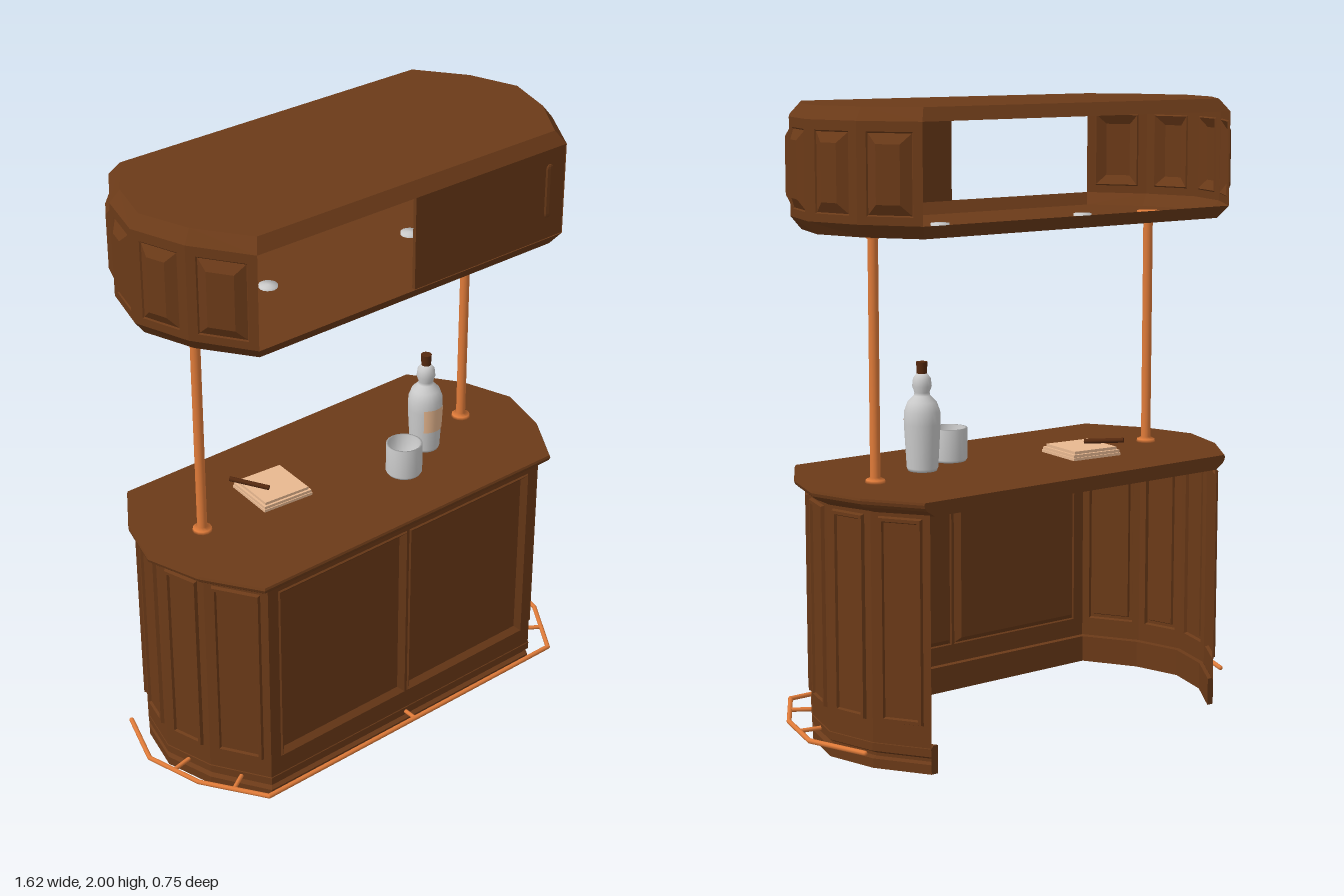
import * as THREE from 'three';

const mat = (color, flat = true) =>
  new THREE.MeshStandardMaterial({ color, flatShading: flat, side: THREE.DoubleSide });
const wood = mat(0x6b3a18), copper = mat(0xe07b39, false), grey = mat(0xcccccc, false);
const paper = mat(0xe8b890), dark = mat(0x55290f, false);

function add(parent, name, geometry, material, x = 0, y = 0, z = 0) {
  const m = new THREE.Mesh(geometry, material);
  m.name = name;
  m.position.set(x, y, z);
  parent.add(m);
  return m;
}

// Skin between rings of points; optional fans close the first and last ring
function loft(rings, { closed = true, first = false, last = false, ends = false } = {}) {
  const pos = [];
  const tri = (...p) => p.forEach(v => pos.push(...v));
  const fan = (r, flip) => {
    for (let j = 1; j < r.length - 1; j++) flip ? tri(r[0], r[j + 1], r[j]) : tri(r[0], r[j], r[j + 1]);
  };
  const n = rings[0].length;
  for (let i = 0; i < rings.length - 1; i++) {
    for (let j = 0; j < (closed ? n : n - 1); j++) {
      const k = (j + 1) % n;
      const a = rings[i][j], b = rings[i][k], c = rings[i + 1][k], d = rings[i + 1][j];
      tri(a, d, c);
      tri(a, c, b);
    }
  }
  if (first) fan(rings[0], false);
  if (last) fan(rings[rings.length - 1], true);
  if (ends) {
    fan(rings.map(r => r[0]), false);
    fan(rings.map(r => r[n - 1]), true);
  }
  const g = new THREE.BufferGeometry();
  g.setAttribute('position', new THREE.Float32BufferAttribute(pos, 3));
  g.computeVertexNormals();
  return g;
}

// Faceted plans, right rear to left rear by way of the front
const mirrored = side => [...side, ...side.slice().reverse().map(([x, z]) => [-x, z])];
const topPlan = mirrored([[0.6, -0.37], [0.715, -0.2], [0.77, -0.02], [0.715, 0.165], [0.6, 0.345]]);
const bodyPlan = mirrored([[0.575, -0.36], [0.68, -0.2], [0.725, -0.03], [0.68, 0.14], [0.57, 0.32]]);

// Plan grown by d around depth z0, at height y
function ringAt(plan, y, d, z0) {
  const zMax = Math.max(...plan.map(p => p[1]));
  return plan.map(([x, z]) => [x * (1 + d / 0.75), y, z0 + (z - z0) * (1 + d / (zMax - z0))]);
}

// One upright facet, with panels [x0, x1, y0, y1] moulded by [inset, depth] steps
function facet(parent, name, p0, p1, y0, y1, panels, steps) {
  const g = new THREE.Group();
  g.name = name;
  g.position.set((p0[0] + p1[0]) / 2, 0, (p0[1] + p1[1]) / 2);
  g.rotation.y = Math.atan2(p1[1] - p0[1], p0[0] - p1[0]);
  parent.add(g);
  const rect = (a, b, c, d) => [[a, c], [a, d], [b, d], [b, c]];
  const toPoints = r => r.map(p => new THREE.Vector2(...p));
  const h = Math.hypot(p1[0] - p0[0], p1[1] - p0[1]) / 2;
  const shape = new THREE.Shape(toPoints(rect(-h, h, y0, y1)));
  for (const [a, b, c, d] of panels) {
    shape.holes.push(new THREE.Path(toPoints(rect(a, b, c, d))));
    const rings = steps.map(([i, z]) => rect(a + i, b - i, c + i, d - i).map(p => [...p, z]));
    add(g, 'panel', loft(rings, { last: true }), wood);
  }
  add(g, 'panelFrame', new THREE.ShapeGeometry(shape), wood);
}

function rod(parent, name, a, b, r) {
  const A = new THREE.Vector3(...a), B = new THREE.Vector3(...b);
  const m = add(parent, name, new THREE.CylinderGeometry(r, r, A.distanceTo(B), 8), copper);
  m.position.copy(A).add(B).multiplyScalar(0.5);
  m.quaternion.setFromUnitVectors(new THREE.Vector3(0, 1, 0), B.sub(A).normalize());
  return m;
}

const lathe = (pts, n = 16) => new THREE.LatheGeometry(pts.map(p => new THREE.Vector2(...p)), n);

export function createModel() {
  const root = new THREE.Group();
  root.name = 'barCounter';

  // Counter body, open at the rear
  const rim = [[0, 0], [0.004, 0.011], [0.014, 0.011], [0.018, 0.003]];
  const recess = [[0, 0], [0.004, 0.005], [0.022, -0.012]];
  for (let i = 0; i < 9; i++) {
    const p0 = bodyPlan[i], p1 = bodyPlan[i + 1];
    if (i === 4) {
      facet(root, 'counterFront', p0, p1, 0.08, 0.81,
        [[-0.53, -0.005, 0.15, 0.79], [0.005, 0.53, 0.15, 0.79]], recess);
    } else {
      const w = Math.hypot(p1[0] - p0[0], p1[1] - p0[1]) / 2 - 0.025;
      facet(root, 'counterSide', p0, p1, 0.08, 0.81, [[-w, w, 0.15, 0.79]], rim);
    }
  }

  // Stepped plinth
  const plinth = [[0, 0], [0.03, 0], [0.038, -0.012], [0.048, -0.012], [0.055, 0.002],
    [0.08, 0.002], [0.09, -0.008], [0.09, -0.03], [0, -0.03], [0, 0]];
  add(root, 'plinth', loft(plinth.map(([y, d]) => ringAt(bodyPlan, y, d, -0.36)),
    { closed: false, ends: true }), wood);

  // Counter top with a moulded edge
  const edge = [[0.8, -0.045], [0.808, -0.03], [0.818, -0.01], [0.828, 0], [0.838, 0.003], [0.845, 0]];
  add(root, 'counterTop', loft(edge.map(([y, d]) => ringAt(topPlan, y, d, -0.37)),
    { first: true, last: true }), wood);

  // Canopy: bevelled floor and roof, panelled ends, half-open front, open rear
  add(root, 'canopyFloor', loft([ringAt(topPlan, 1.62, -0.03, -0.02), ringAt(topPlan, 1.66, 0, -0.02)],
    { first: true }), wood);
  add(root, 'canopyRoof', loft([ringAt(topPlan, 1.96, 0, -0.02), ringAt(topPlan, 2, -0.03, -0.02)],
    { last: true }), wood);
  for (let i = 0; i < 9; i++) {
    if (i === 4) continue;
    const p0 = topPlan[i], p1 = topPlan[i + 1];
    const w = Math.hypot(p1[0] - p0[0], p1[1] - p0[1]) / 2 - 0.03;
    facet(root, 'canopySide', p0, p1, 1.66, 1.96, [[-w, w, 1.685, 1.93]],
      [[0, 0], [0.004, -0.004], [0.035, 0.014]]);
  }
  add(root, 'slidingDoor', new THREE.BoxGeometry(0.61, 0.3, 0.012), wood, 0.295, 1.81, 0.335);
  const grip = add(root, 'doorGrip', new THREE.CapsuleGeometry(0.015, 0.15, 3, 8), wood, 0.535, 1.82, 0.341);
  grip.scale.z = 0.4;

  // Posts with flared collars, and lamps under the canopy
  const post = lathe([[0, 0.845], [0.032, 0.845], [0.03, 0.855], [0.016, 0.862], [0.016, 1.595],
    [0.038, 1.615], [0.038, 1.625], [0, 1.625]], 12);
  for (const s of [-1, 1]) {
    add(root, 'post', post, copper, s * 0.55, 0, -0.035);
    add(root, 'lamp', lathe([[0, 1.61], [0.02, 1.61], [0.023, 1.598], [0.028, 1.598], [0.03, 1.628], [0, 1.628]]),
      grey, s * 0.285, 0, -0.015);
  }

  // Foot rail and its brackets
  const y = 0.065;
  const rail = mirrored([[0.73, -0.23], [0.8, -0.03], [0.75, 0.17], [0.62, 0.37]]);
  rail.forEach(([x, z], i) => {
    add(root, 'railJoint', new THREE.SphereGeometry(0.008, 8, 6), copper, x, y, z);
    if (i) rod(root, 'footRail', [rail[i - 1][0], y, rail[i - 1][1]], [x, y, z], 0.008);
  });
  rod(root, 'railBracket', [0, y, 0.37], [0, y, 0.31], 0.007);
  for (const s of [-1, 1]) {
    rod(root, 'railBracket', [s * 0.685, y, 0.27], [s * 0.62, y, 0.23], 0.007);
    rod(root, 'railBracket', [s * 0.775, y, 0.07], [s * 0.7, y, 0.055], 0.007);
  }

  // Bottle with stopper and label
  add(root, 'bottle', lathe([[0, 0], [0.046, 0], [0.05, 0.01], [0.058, 0.15], [0.057, 0.19], [0.046, 0.22],
    [0.026, 0.24], [0.024, 0.25], [0.031, 0.27], [0.028, 0.295], [0.017, 0.31], [0, 0.31]], 20),
    grey, 0.325, 0.845, 0.032);
  add(root, 'stopper', new THREE.CylinderGeometry(0.018, 0.016, 0.04, 12), dark, 0.325, 1.172, 0.032);
  add(root, 'label', new THREE.CylinderGeometry(0.059, 0.055, 0.085, 12, 1, true, -0.8, 1.6),
    mat(0xe8b890, false), 0.325, 0.967, 0.032);

  // Tumbler
  add(root, 'tumbler', lathe([[0, 0], [0.055, 0], [0.06, 0.008], [0.06, 0.108], [0.053, 0.108],
    [0.05, 0.02], [0, 0.02]], 20), grey, 0.165, 0.845, 0.11);

  // Napkin stack with a pen on it
  const napkins = new THREE.Group();
  napkins.name = 'napkins';
  napkins.position.set(-0.24, 0.845, -0.07);
  napkins.rotation.y = -0.08;
  root.add(napkins);
  [0.185, 0.18, 0.165].forEach((w, i) =>
    add(napkins, 'napkin', new THREE.BoxGeometry(w, 0.009, w), paper, 0, 0.0055 + i * 0.0095, 0));
  rod(root, 'pen', [-0.345, 0.892, -0.16], [-0.27, 0.88, -0.05], 0.008).material = dark;

  return root;
}
